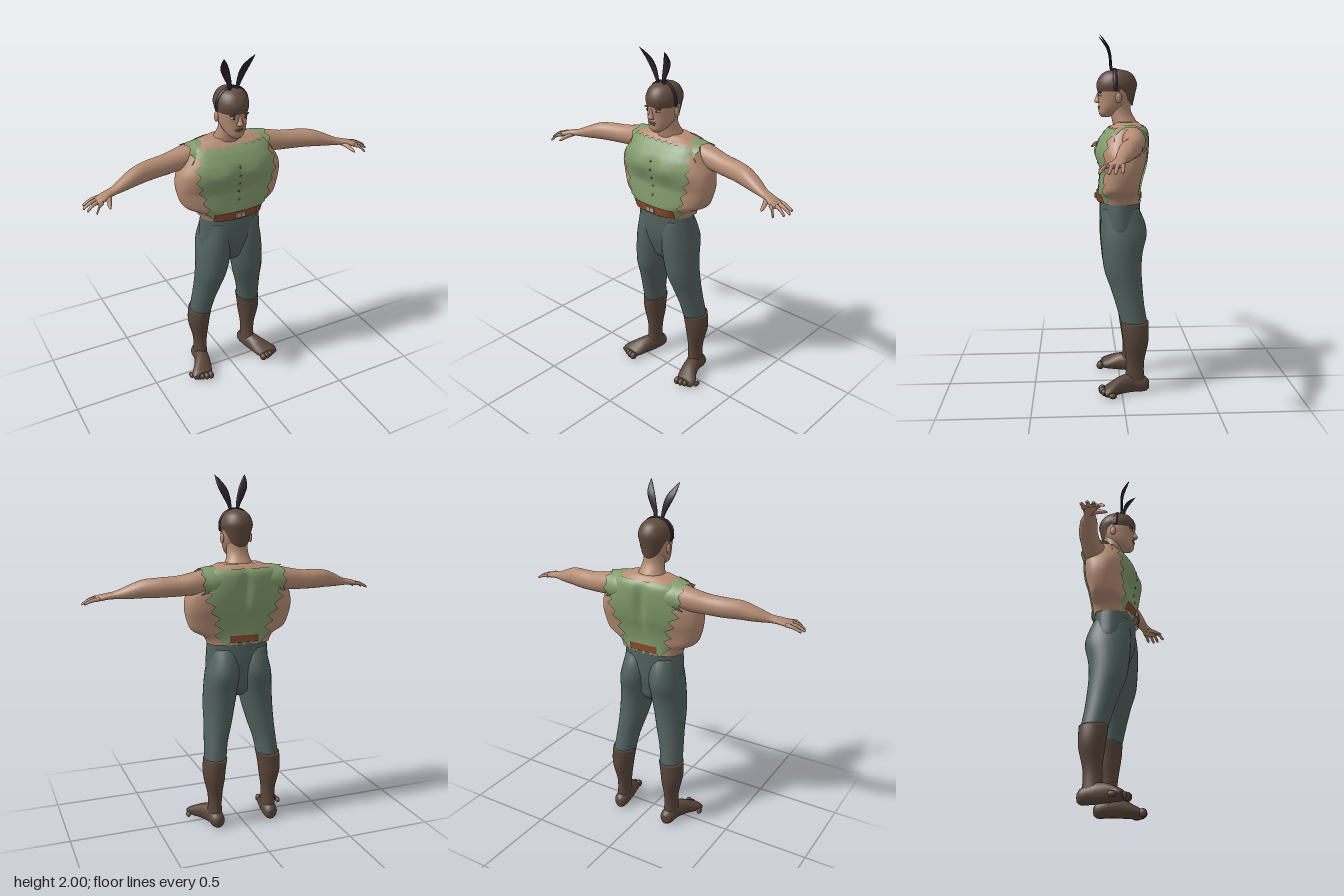
import * as THREE from 'three';

const paint = (name, color, side = THREE.FrontSide) => {
  const m = new THREE.MeshStandardMaterial({ color, side });
  m.name = name;
  return m;
};

// Catmull-Rom through rows of numbers, t from 0 to rows.length - 1
function along(rows, t) {
  const last = rows.length - 1, i = Math.min(Math.floor(t), last - 1), f = t - i;
  const [a, b, c, d] = [i - 1, i, i + 1, i + 2].map(k => rows[Math.max(0, Math.min(last, k))]);
  return b.map((_, k) => b[k] + 0.5 * f * (c[k] - a[k] + f * (2 * a[k] - 5 * b[k] + 4 * c[k] - d[k]
    + f * (3 * (b[k] - c[k]) + d[k] - a[k]))));
}

// Surface from a rule fn(column, row) => [x, y, z]
function grid(cols, rows, fn, wrap = false, flip = false) {
  const pos = [], idx = [], n = wrap ? cols : cols + 1;
  for (let r = 0; r <= rows; r++) for (let c = 0; c < n; c++) pos.push(...fn(c, r));
  for (let r = 0; r < rows; r++) for (let c = 0; c < cols; c++) {
    const a = r * n + c, b = r * n + (c + 1) % n, d = a + n, e = b + n;
    idx.push(...(flip ? [a, e, b, a, d, e] : [a, b, e, a, e, d]));
  }
  const g = new THREE.BufferGeometry();
  g.setAttribute('position', new THREE.Float32BufferAttribute(pos, 3));
  g.setIndex(idx);
  g.computeVertexNormals();
  return g;
}

// Skin over elliptical rings [x, y, z, radius, radius], listed upwards along the axis
function loft(axis, rings, capped = true, sides = 28, sub = 4) {
  const n = (rings.length - 1) * sub, off = capped ? 1 : 0;
  return grid(sides, n + 2 * off, (c, r) => {
    const k = r - off, t = Math.max(0, Math.min(n, k)) / sub;
    const [x, y, z, p, q] = along(rings, t), s = k < 0 || k > n ? 0 : 1;
    const a = c / sides * Math.PI * 2, C = Math.cos(a) * s, S = Math.sin(a) * s;
    if (axis === 'y') return [x + p * S, y, z + q * C];
    if (axis === 'x') return [x, y + p * C, z + q * S];
    return [x + p * C, y + q * S, z];
  }, true);
}

// Edit the vertices of a geometry by a rule
function reshape(g, fn) {
  const p = g.attributes.position;
  for (let i = 0; i < p.count; i++) p.setXYZ(i, ...fn(p.getX(i), p.getY(i), p.getZ(i), i));
  g.computeVertexNormals();
  return g;
}

// Torso rows: y, half width, front z, back z
const TORSO = [[1.06, .175, .115, -.11], [1.12, .2, .118, -.105], [1.16, .272, .115, -.105],
  [1.22, .3, .11, -.115], [1.29, .312, .115, -.135], [1.36, .3, .124, -.146], [1.42, .265, .115, -.15],
  [1.47, .235, .085, -.148], [1.5, .21, .055, -.135], [1.53, .12, .02, -.1]];
function torsoRow(y) {
  let i = 0;
  while (i < TORSO.length - 2 && y > TORSO[i + 1][0]) i++;
  const f = (y - TORSO[i][0]) / (TORSO[i + 1][0] - TORSO[i][0]);
  return along(TORSO, i + Math.max(0, Math.min(1, f)));
}
const bump = (d, w) => Math.exp(-d * d / (w * w));
function torsoZ(x, y, side) {
  const [, w, zf, zb] = torsoRow(y), ax = Math.abs(x);
  const k = Math.pow(1 - Math.pow(Math.min(1, ax / w), 2.6), 1 / 2.6);
  return side > 0
    ? -.02 + (zf + .02) * k + k * (.014 * bump(ax - .09, .07) * bump(y - 1.36, .05) - .006 * bump(y - 1.26, .03))
    : -.02 + (zb + .02) * k + k * .02 * bump(x, .03) * bump(y - 1.38, .12);
}
// Cloth sheet lying on the front or back of the torso
function sheet(side, halfWidth, bottom, top, lift, cols = 40, rows = 48) {
  return grid(cols, rows, (c, r) => {
    const u = c / cols * 2 - 1, y = THREE.MathUtils.lerp(bottom(c), top(c), r / rows);
    const x = u * Math.min(halfWidth(y, r), torsoRow(y)[1] * .985);
    return [x, y, torsoZ(x, y, side) + side * lift];
  }, false, side < 0);
}
const zig = (i, n) => Math.abs((i % n) / n * 2 - 1);

export function createModel() {
  const model = new THREE.Group();
  const skin = paint('skin', 0xb58c74), hairM = paint('hair', 0x604a3d, THREE.DoubleSide);
  const shirt = paint('shirt green', 0x829a6c, THREE.DoubleSide), trousers = paint('trouser grey', 0x52625f);
  const boots = paint('boot brown', 0x59463b), leather = paint('belt leather', 0x84492a, THREE.DoubleSide);
  const metal = paint('buckle', 0xb99a86), dark = paint('ear purple', 0x2c2232, THREE.DoubleSide);
  const white = paint('eye white', 0xd0c8c0), lip = paint('lips', 0x94604f);

  const add = (name, geo, mat) => {
    const m = new THREE.Mesh(geo, mat);
    m.name = name;
    model.add(m);
    return m;
  };
  const pair = (name, geo, mat) => {
    add('left ' + name, geo, mat);
    const g = geo.clone().scale(-1, 1, 1), ix = g.index.array;
    for (let i = 0; i < ix.length; i += 3) [ix[i], ix[i + 1]] = [ix[i + 1], ix[i]];
    g.computeVertexNormals();
    add('right ' + name, g, mat);
  };
  const ball = (x, y, z, a, b, c) => new THREE.SphereGeometry(1, 16, 12).scale(a, b, c).translate(x, y, z);

  // Body
  add('torso', grid(64, 49, (c, r) => {
    const y = 1.08 + Math.min(r, 48) / 48 * .45, a = c / 64 * Math.PI * 2, s = Math.sin(a);
    if (r === 49) return [0, 1.53, -.04];
    const x = torsoRow(y)[1] * Math.sign(s) * Math.pow(Math.abs(s), 1 / 1.3);
    return [x, y, torsoZ(x, y, Math.cos(a) >= 0 ? 1 : -1)];
  }, true), skin);
  add('neck', loft('y', [[0, 1.48, -.045, .1, .075], [0, 1.53, -.025, .075, .068], [0, 1.59, -.003, .06, .058],
    [0, 1.66, 0, .06, .06]]), skin);

  // Arms and hands
  pair('arm', loft('x', [[.12, 1.44, -.06, .055, .055], [.2, 1.44, -.06, .067, .065], [.28, 1.43, -.06, .062, .06],
    [.36, 1.42, -.05, .056, .054], [.46, 1.415, -.035, .054, .052], [.54, 1.41, -.012, .05, .05],
    [.61, 1.395, .008, .038, .044], [.68, 1.378, .032, .022, .031], [.72, 1.372, .045, .018, .033],
    [.765, 1.362, .062, .016, .043], [.79, 1.357, .07, .01, .04]]), skin);
  [[.77, .03, .85, .035, 1.335], [.778, .055, .86, .068, 1.332], [.775, .08, .848, .098, 1.33],
    [.765, .1, .815, .14, 1.328]].forEach(([x0, z0, x1, z1, y1], i) => {
    const mid = [(x0 + x1) / 2, 1.354, (z0 + z1) / 2, .0095, .01];
    pair('finger ' + (i + 1), loft('x', [[x0, 1.36, z0, .011, .013], mid, [x1 - .004, y1 + .003, z1, .007, .008],
      [x1, y1, z1, .002, .002]], true, 10), skin);
  });
  pair('thumb', loft('z', [[.71, 1.368, .045, .018, .013], [.728, 1.358, .09, .014, .012],
    [.738, 1.345, .125, .01, .009], [.742, 1.338, .145, .002, .002]], true, 10), skin);

  // Torn shirt
  const edge = (y, list) => along(list, Math.max(0, Math.min(2.999, (y - 1.08) / .14)));
  add('shirt front', sheet(1, (y, r) => edge(y, [[.18], [.215], [.25], [.215]])[0] - .03 * zig(r, 8),
    c => 1.08 + .025 * zig(c, 6), c => 1.495 + .012 * zig(c, 5), .009), shirt);
  add('shirt back', sheet(-1, (y, r) => edge(y, [[.165], [.18], [.235], [.215]])[0] - .045 * zig(r, 8),
    c => 1.075 + .03 * zig(c, 8), () => 1.508, .008), shirt);
  pair('sleeve', reshape(loft('x', [[.115, 1.437, -.045, .078, .1], [.175, 1.433, -.042, .086, .104],
    [.225, 1.43, -.047, .08, .092]], false, 40), (x, y, z, i) => [x > .22 ? x + .022 * zig(i, 5) : x, y, z]), shirt);
  for (let i = 0; i < 5; i++) {
    const y = 1.2 + i * .05;
    add('button ' + (i + 1), ball(0, y, torsoZ(0, y, 1) + .01, .006, .006, .004), leather);
  }

  // Belt and buckle
  add('belt front', sheet(1, () => .148, () => 1.09, () => 1.138, .017, 24, 4), leather);
  add('belt back', sheet(-1, () => .085, () => 1.095, () => 1.135, .014, 24, 4), leather);
  add('buckle', new THREE.BoxGeometry(.056, .026, .009).translate(0, 1.114, .139), metal);
  add('buckle bar', new THREE.BoxGeometry(.006, .026, .006).translate(0, 1.114, .142), leather);

  // Trousers
  add('hips', loft('y', [[0, .765, -.01, .02, .04], [0, .8, -.01, .08, .075], [0, .85, -.005, .15, .09],
    [0, .92, 0, .186, .108], [0, 1.0, .002, .184, .116], [0, 1.1, .003, .176, .115]]), trousers);
  pair('trouser leg', loft('y', [[.162, .4, -.072, .064, .074], [.15, .5, -.05, .068, .079], [.132, .6, -.03, .079, .09],
    [.118, .7, -.01, .09, .105], [.106, .8, -.007, .097, .115], [.096, .9, -.015, .097, .13],
    [.088, .98, -.01, .088, .122], [.085, 1.05, 0, .08, .1]]), trousers);

  // Boots with toes
  pair('boot', loft('y', [[.168, .05, -.075, .042, .06], [.167, .13, -.075, .039, .051], [.167, .2, -.077, .043, .054],
    [.171, .29, -.08, .06, .07], [.17, .35, -.077, .066, .076], [.162, .415, -.074, .069, .079]]), boots);
  pair('foot', reshape(loft('z', [[.163, .04, -.155, .018, .025], [.166, .045, -.13, .04, .044],
    [.172, .055, -.06, .045, .055], [.195, .05, .01, .054, .05], [.222, .036, .065, .066, .036],
    [.232, .028, .1, .058, .024]]), (x, y, z) => [x, Math.max(y, .002), z]), boots);
  for (let i = 0; i < 5; i++)
    pair('toe ' + (i + 1), ball(.186 + i * .026, .026 - i * .001, .112 - i * i * .0035, .019 - i * .0015,
      .024 - i * .002, .023), boots);

  // Head and face
  add('head', loft('y', [[0, 1.556, .082, .022, .022], [0, 1.575, .07, .046, .048], [0, 1.61, .045, .066, .075],
    [0, 1.65, .028, .076, .094], [0, 1.7, .022, .082, .104], [0, 1.75, .018, .082, .1], [0, 1.79, .015, .066, .08],
    [0, 1.812, .015, .03, .04]]), skin);
  add('nose', loft('y', [[0, 1.634, .12, .015, .014], [0, 1.643, .126, .018, .019], [0, 1.665, .122, .01, .015],
    [0, 1.69, .115, .009, .012]], true, 14), skin);
  add('upper lip', ball(0, 1.613, .116, .026, .005, .009), lip);
  add('lower lip', ball(0, 1.604, .115, .021, .005, .009), lip);
  pair('eye', ball(.034, 1.678, .109, .014, .007, .011), white);
  pair('iris', ball(.034, 1.678, .117, .006, .006, .005), dark);
  pair('eyebrow', ball(.036, 1.694, .113, .022, .005, .01), hairM);
  pair('ear', ball(.083, 1.662, .012, .01, .028, .018), skin);

  // Close-cropped hair, lower at the nape
  add('hair', reshape(loft('y', [[0, 1.66, .016, .086, .109], [0, 1.7, .018, .09, .112], [0, 1.745, .018, .09, .112],
    [0, 1.785, .017, .074, .092], [0, 1.808, .016, .047, .06], [0, 1.821, .015, .002, .002]], false, 36),
  (x, y, z) => {
    const t = Math.max(0, Math.min(1, (1.73 - y) / .07));
    return [z < 0 ? x * (1 - .15 * t) : x, y + t * (z > 0 ? .036 : .036 + z * .85), z < 0 ? z * (1 - .25 * t) : z];
  }), hairM);

  // Headband with long ears
  add('headband', new THREE.TorusGeometry(.091, .006, 8, 40, Math.PI).scale(1, .99, 2).translate(0, 1.73, .03), dark);
  pair('headband end', ball(.091, 1.72, .028, .006, .022, .013), dark);
  pair('long ear', loft('y', [[.02, 1.8, .045, .007, .007], [.026, 1.84, .052, .013, .007], [.044, 1.89, .056, .022, .006],
    [.062, 1.935, .068, .024, .006], [.078, 1.975, .094, .013, .005], [.088, 2.0, .115, .001, .001]], true, 16), dark);

  return model;
}
